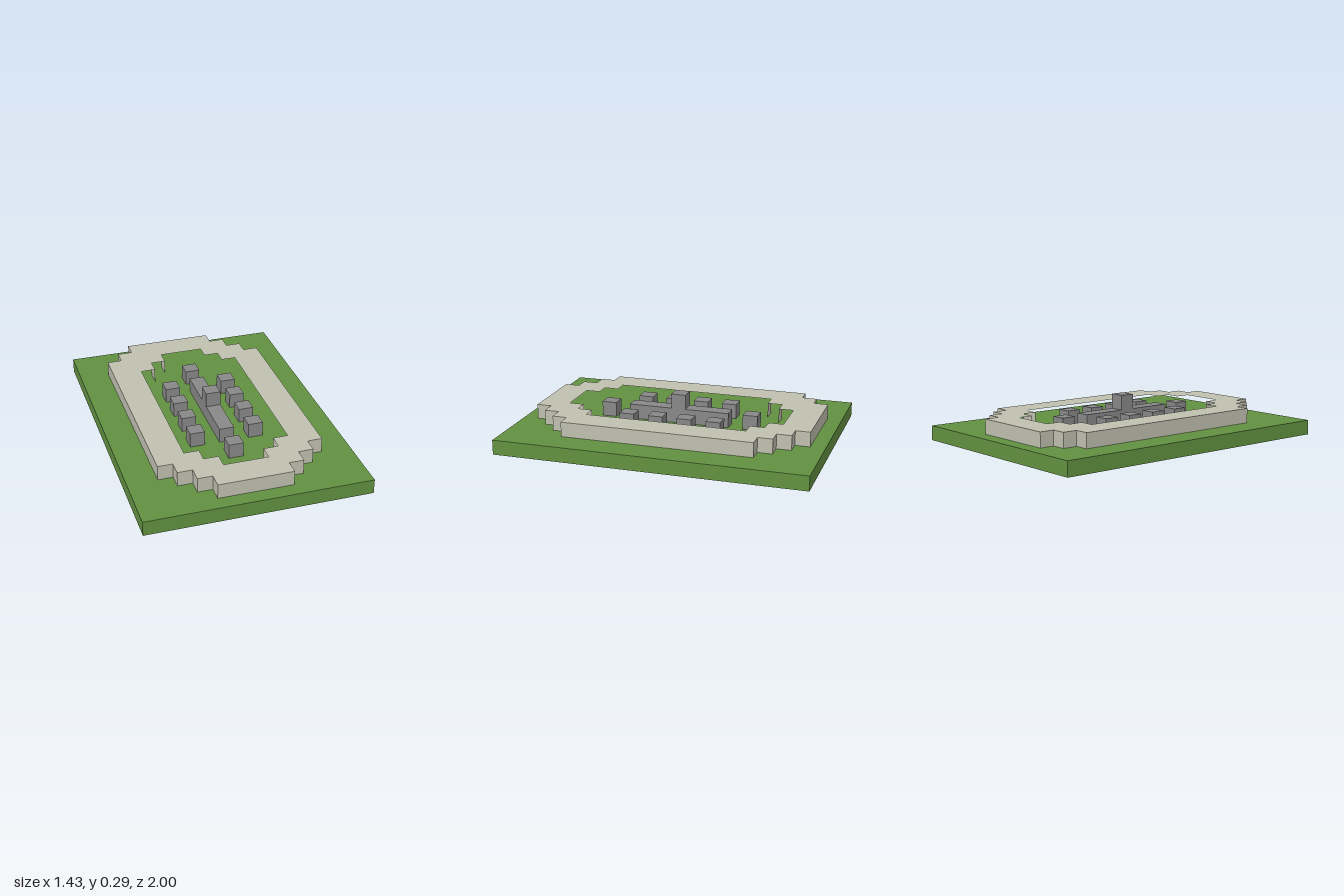
import * as THREE from 'three';

const U = 2 / 21; // one grid cell

const paint = (name, color) => {
  const m = new THREE.MeshStandardMaterial({ color });
  m.name = name;
  return m;
};

// Closed path from cell coordinates (second value points to the back)
const toPath = (Type, pts) => new Type(pts.map(([x, y]) => new THREE.Vector2(x * U, y * U)));
const square = (x, y, hx, hy) => [[x - hx, y - hy], [x + hx, y - hy], [x + hx, y + hy], [x - hx, y + hy]];

// One-cell-high layer with holes
function slab(outline, holes) {
  const shape = toPath(THREE.Shape, outline);
  shape.holes = holes.map((h) => toPath(THREE.Path, h));
  return new THREE.ExtrudeGeometry(shape, { depth: U, bevelEnabled: false }).rotateX(-Math.PI / 2);
}

// Stepped oval ring: corner points of the right side, mirrored all round
const mirrorAll = (q) => {
  const flip = (p, sx, sy) => p.map(([x, y]) => [x * sx, y * sy]);
  return [...q, ...flip(q, 1, -1).reverse(), ...flip(q, -1, -1), ...flip(q, -1, 1).reverse()];
};

export function createModel() {
  const group = new THREE.Group();
  const grass = paint('grass green', 0x629141);
  const sand = paint('pale stone', 0xc0c0b0);
  const stone = paint('grey stone', 0x888888);
  const soil = paint('soil brown', 0x87584a);

  const add = (name, geometry, material, x = 0, y = 0, z = 0) => {
    const mesh = new THREE.Mesh(geometry, material);
    mesh.name = name;
    mesh.position.set(x * U, y * U, z * U);
    group.add(mesh);
  };
  const box = (w, h, d) => new THREE.BoxGeometry(w * U, h * U, d * U);

  // Cells of the free-standing blocks, each on its own soil footing
  const cells = [[0, -5], [0, 5]];
  for (const x of [-2, 2]) for (const z of [-3, -1, 1, 3]) cells.push([x, z]);

  // Lawn with pockets for the footings
  add('lawn', slab(square(0, 0, 7.5, 10.5), cells.map(([x, z]) => square(x, -z, 0.5, 0.5))), grass);

  // Raised track: the back left corner is shifted outwards by one step
  const quarter = [[2.5, 9.5], [2.5, 8.5], [3.5, 8.5], [3.5, 7.5], [4.5, 7.5], [4.5, 6.5], [5.5, 6.5]];
  const outer = mirrorAll(quarter);
  outer.splice(-7, 7, [-5.5, 7.5], [-4.5, 7.5], [-4.5, 8.5], [-3.5, 8.5], [-3.5, 9.5]);
  const inner = mirrorAll([[1.5, 7.5], [1.5, 6.5], [2.5, 6.5], [2.5, 5.5], [3.5, 5.5]]);
  add('track', slab(outer, [inner]), sand, 0, 1, 0);

  // Footings and blocks
  for (const [x, z] of cells) {
    add('footing', box(1, 1, 1), soil, x, 0.5, z);
    add('block', box(1, 1, 1), stone, x, 1.5, z);
  }

  // Central bar with a raised cube
  add('centralBar', box(1, 1, 7), stone, 0, 1.5, 0);
  add('centralCube', box(1, 1, 1), stone, 0, 2.5, 0);
  return group;
}
